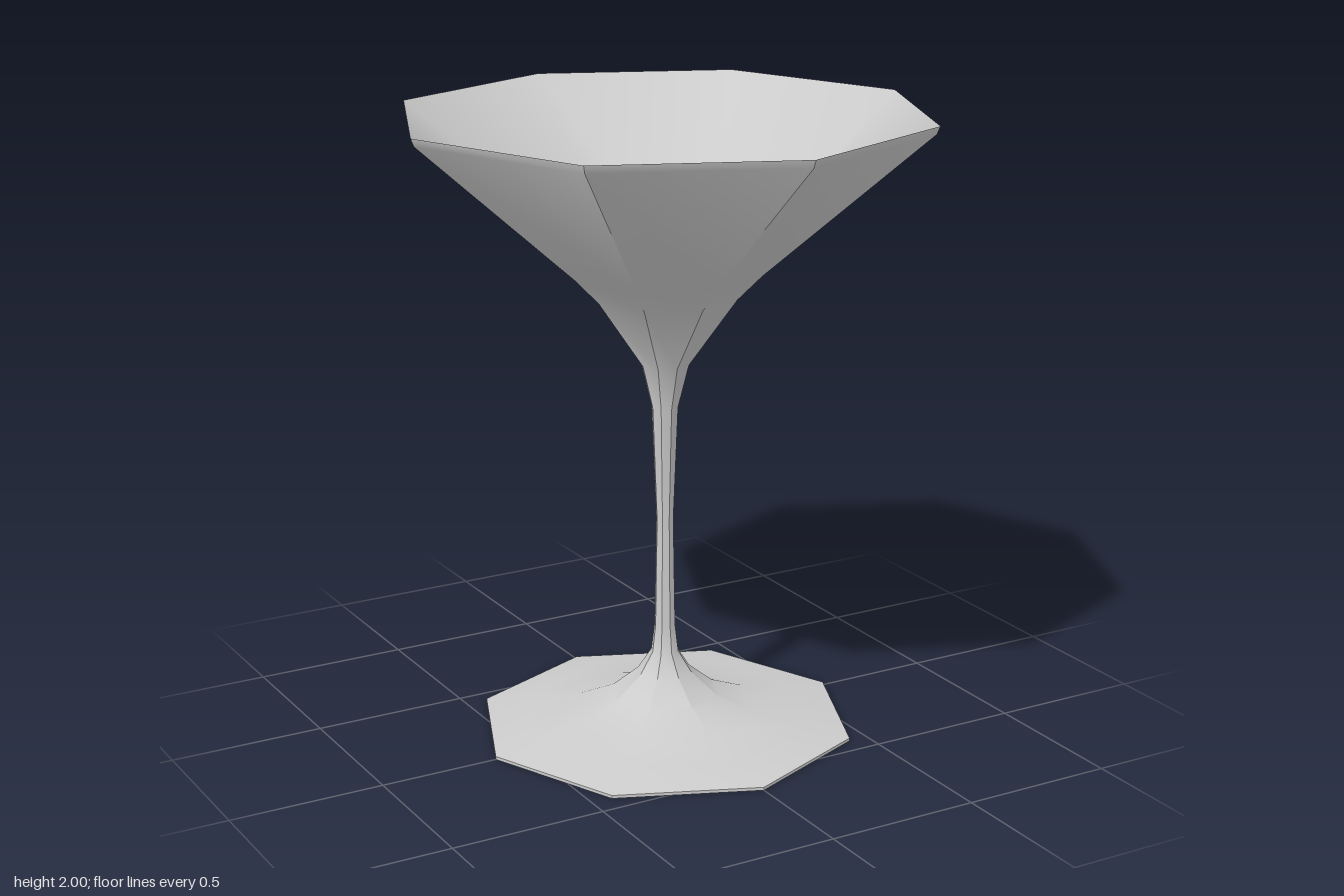
import * as THREE from 'three';
import { toCreasedNormals } from 'three/addons/utils/BufferGeometryUtils.js';

const SIDES = 8;
const material = new THREE.MeshStandardMaterial({ color: 0xcccccc });

// Eight-sided turned part; profile points are [radius, height]
function turned(name, profile, creaseDegrees) {
  const points = profile.map(([r, y]) => new THREE.Vector2(r, y));
  const geometry = toCreasedNormals(
    new THREE.LatheGeometry(points, SIDES), THREE.MathUtils.degToRad(creaseDegrees));
  const mesh = new THREE.Mesh(geometry, material);
  mesh.name = name;
  return mesh;
}

// Flat octagon facing up (direction 1) or down (direction -1)
function disc(name, radius, y, direction) {
  const mesh = new THREE.Mesh(new THREE.CircleGeometry(radius, SIDES), material);
  mesh.rotation.x = -direction * Math.PI / 2;
  mesh.position.y = y;
  mesh.name = name;
  return mesh;
}

export function createModel() {
  const glass = new THREE.Group();
  glass.name = 'cocktailGlass';

  // Foot, stem and outside of the bowl in one continuous sweep
  glass.add(turned('outerBody', [
    [0.613, 0], [0.613, 0.01], [0.47, 0.038], [0.29, 0.066], [0.175, 0.11],
    [0.09, 0.18], [0.045, 0.25], [0.034, 0.34], [0.028, 0.7], [0.043, 1.07],
    [0.078, 1.21], [0.232, 1.43], [0.31, 1.51], [0.835, 1.975], [0.845, 2],
  ], 26));

  // Inside of the bowl, meeting the outside at a thin rim
  glass.add(turned('bowlInside', [[0.845, 2], [0.226, 1.46]], 40));
  glass.add(disc('bowlFloor', 0.226, 1.46, 1));
  glass.add(disc('footUnderside', 0.613, 0, -1));

  return glass;
}
